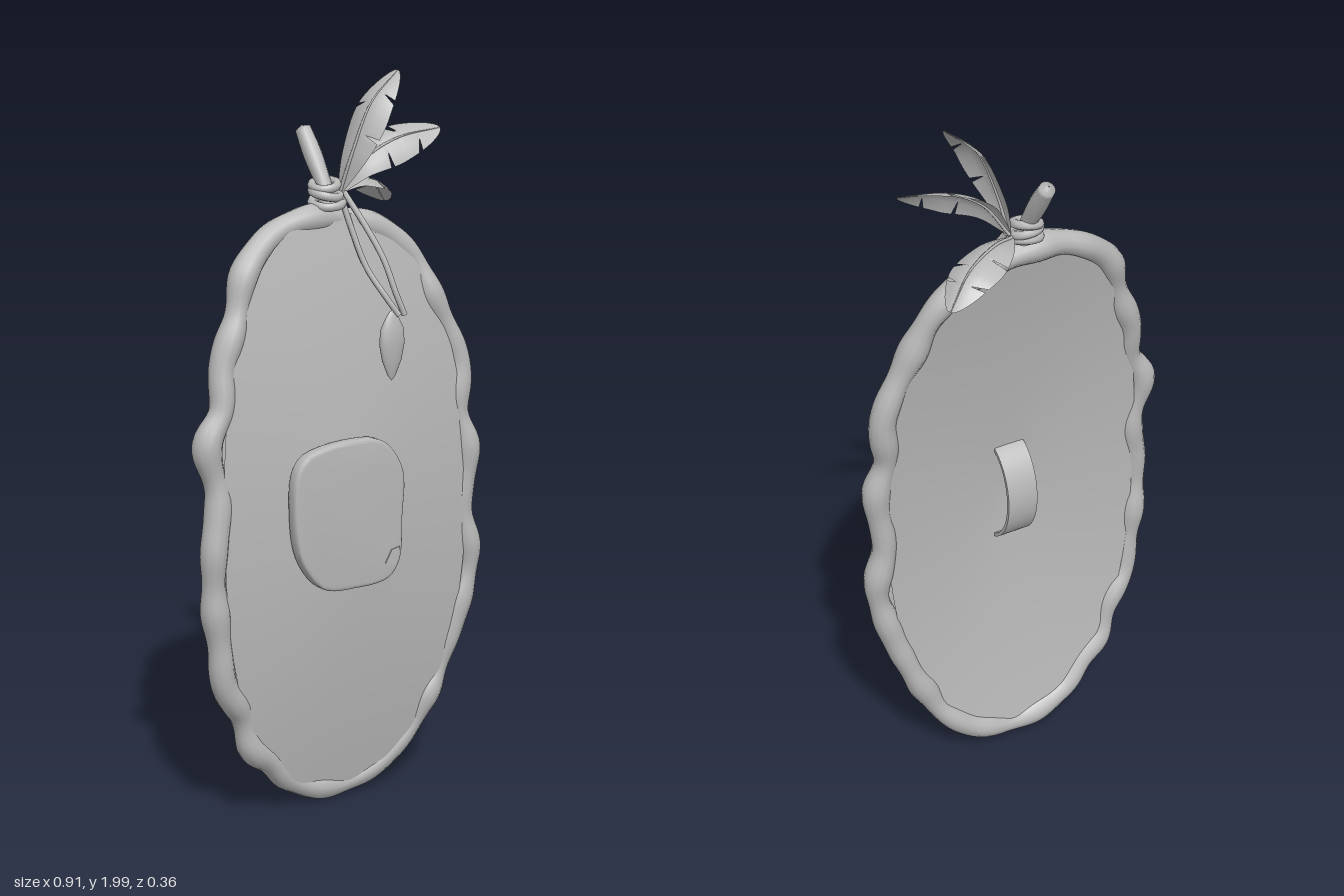
import * as THREE from 'three';
import { mergeVertices, toCreasedNormals } from 'three/addons/utils/BufferGeometryUtils.js';

const V = (x, y, z) => new THREE.Vector3(x, y, z);
const spline = (pts, closed = false) => new THREE.CatmullRomCurve3(pts.map(p => V(...p)), closed);
const grey = new THREE.MeshStandardMaterial({ color: 0xb8b8b8, side: THREE.DoubleSide });
grey.name = 'plain grey';

function mesh(name, geometry, parent) {
  const m = new THREE.Mesh(geometry, grey);
  m.name = name;
  parent.add(m);
  return m;
}

// Weld a geometry so that its normals are smooth across seams
function smooth(geo) {
  geo.deleteAttribute('uv');
  geo.deleteAttribute('normal');
  const g = mergeVertices(geo, 1e-5);
  g.computeVertexNormals();
  return g;
}

// Tube whose radius follows a rule along its length
function roundBar(path, n, sides, radius, closed = false) {
  const geo = new THREE.TubeGeometry(path, n, 1, sides, closed);
  const pos = geo.attributes.position;
  for (let i = 0; i <= n; i++) {
    const c = path.getPointAt(closed ? (i % n) / n : i / n);
    for (let j = 0; j <= sides; j++) {
      const k = i * (sides + 1) + j;
      const v = V().fromBufferAttribute(pos, k).sub(c).multiplyScalar(radius(i / n)).add(c);
      pos.setXYZ(k, v.x, v.y, v.z);
    }
  }
  return smooth(geo);
}

// Grid surface from rows of points
function surface(rows) {
  const w = rows[0].length, index = [];
  for (let i = 0; i < rows.length - 1; i++) for (let j = 0; j < w - 1; j++) {
    const a = i * w + j, b = a + w;
    index.push(a, b, a + 1, b, b + 1, a + 1);
  }
  const g = new THREE.BufferGeometry().setFromPoints(rows.flat());
  g.setIndex(index);
  g.computeVertexNormals();
  return g;
}

// Feather: cupped blade with V-shaped nicks on its edges, plus a quill
function feather(name, pts, side, half, nicks, parent) {
  const g = new THREE.Group();
  g.name = name;
  const path = spline(pts), n = 60, rows = [];
  for (let i = 0; i <= n; i++) {
    const t = i / n, c = path.getPointAt(t), dir = path.getTangentAt(t);
    const s = V(...side).addScaledVector(dir, -V(...side).dot(dir)).normalize();
    const up = V().crossVectors(s, dir).normalize();
    const body = half * Math.pow(Math.sin(Math.PI * Math.pow(0.03 + 0.96 * t, 1.4)), 0.6);
    rows.push([-1, -0.5, 0, 0.5, 1].map(u => {
      const cut = nicks.some(([at, sign]) => sign * u > 0 && Math.abs(at - t) < 0.011) ? 0.4 : 1;
      const w = u * body * cut;
      return c.clone().addScaledVector(s, w).addScaledVector(up, -w * w * 7)
        .addScaledVector(dir, -Math.abs(w) * 0.2);
    }));
  }
  mesh('featherBlade', surface(rows), g);
  mesh('featherQuill', roundBar(path, 24, 6, t => 0.006 * (1 - 0.8 * t)), g);
  parent.add(g);
}

export function createModel() {
  const model = new THREE.Group();
  model.name = 'ovalShield';

  // Lumpy wooden rim, bent backwards at top and bottom
  const outline = [
    [0, 1.66], [-0.11, 1.655], [-0.2, 1.62], [-0.3, 1.53], [-0.345, 1.4], [-0.39, 1.29], [-0.405, 1.18], [-0.45, 1.09],
    [-0.425, 0.95], [-0.445, 0.79], [-0.44, 0.66], [-0.425, 0.53], [-0.41, 0.42], [-0.35, 0.32], [-0.315, 0.21],
    [-0.25, 0.15], [-0.175, 0.07], [0, 0.01], [0.16, 0.05], [0.265, 0.14], [0.32, 0.24], [0.355, 0.31], [0.41, 0.47],
    [0.45, 0.645], [0.425, 0.79], [0.44, 0.97], [0.413, 1.08], [0.42, 1.22], [0.335, 1.41], [0.275, 1.53], [0.16, 1.62],
  ];
  const rimZ = y => 0.1 - 0.08 * ((y - 0.75) / 0.9) ** 2;
  const rimPath = spline(outline.map(([x, y], i) => {
    const d = new THREE.Vector2(x / 0.2, (y - 0.84) / 0.7).normalize().multiplyScalar(0.034);
    return [x - d.x, y - d.y, rimZ(y) + 0.004 * Math.sin(i * 2.3)];
  }), true);
  mesh('rim', roundBar(rimPath, 240, 12,
    t => 0.0355 + 0.003 * Math.sin(t * 34 * Math.PI) + 0.002 * Math.sin(t * 54 * Math.PI), true), model);

  // Front and back panels, coned gently towards the middle
  const panel = (name, offset, bulge) => {
    const rows = [], e = 2 / 2.3;
    for (let i = 0; i <= 16; i++) {
      const s = i / 16, row = [];
      for (let j = 0; j <= 96; j++) {
        const a = ((j % 96) / 48) * Math.PI, c = Math.cos(a), n = Math.sin(a);
        const y = 0.845 + s * 0.795 * Math.sign(n) * Math.abs(n) ** e;
        row.push(V(s * 0.39 * Math.sign(c) * Math.abs(c) ** e, y, rimZ(y) + offset + bulge * (1 - s)));
      }
      rows.push(row);
    }
    mesh(name, smooth(surface(rows)), model);
  };
  panel('frontPanel', 0.025, 0.033);
  panel('backPanel', -0.025, 0.036);

  // Raised plate on the front with a small chipped corner
  const plateCurve = spline([
    [-0.165, 1.04, 0], [-0.015, 1.062, 0], [0.075, 1.045, 0], [0.135, 0.96, 0], [0.134, 0.83, 0], [0.126, 0.71, 0],
    [0.09, 0.665, 0], [-0.02, 0.655, 0], [-0.12, 0.67, 0], [-0.19, 0.76, 0], [-0.21, 0.9, 0], [-0.2, 1.0, 0],
  ], true);
  const shape = new THREE.Shape(plateCurve.getPoints(60).map(p => new THREE.Vector2(p.x, p.y)));
  const plate = new THREE.ExtrudeGeometry(shape, {
    depth: 0.024, bevelSize: 0.01, bevelOffset: -0.01, bevelThickness: 0.008, bevelSegments: 3,
  });
  mesh('frontPlate', toCreasedNormals(plate, 0.6), model).position.z = 0.151;
  const chip = new THREE.Shape([[0.075, 0.71], [0.105, 0.70], [0.122, 0.75], [0.095, 0.745]]
    .map(p => new THREE.Vector2(...p)));
  mesh('plateChip', new THREE.ExtrudeGeometry(chip, { depth: 0.005, bevelEnabled: false }), model).position.z = 0.181;

  // Arched hand strap on the back, ending at the back panel
  const arc = new THREE.Shape();
  arc.absellipse(0, 0, 0.12, 0.158, -1.3, 1.3, false);
  arc.absellipse(0, 0, 0.11, 0.148, 1.3, -1.3, true);
  const strapGeo = new THREE.ExtrudeGeometry(arc, { depth: 0.09, bevelEnabled: false, curveSegments: 20 });
  strapGeo.translate(0, 0, -0.045).rotateY(Math.PI / 2);
  mesh('handStrap', toCreasedNormals(strapGeo, 0.6), model).position.set(0, 0.842, 0.14);

  // Twig rising from the rim, closed by a rounded end
  const twig = spline([[0, 1.61, 0.03], [0, 1.7, 0.005], [-0.004, 1.77, -0.035], [-0.006, 1.857, -0.095]]);
  mesh('twig', roundBar(twig, 24, 12, t => t > 0.99 ? 0.001 : 0.023 + 0.002 * Math.cos(t * 9)), model);

  // Cord wound round the twig
  [[1.668, 0.04, 0.1], [1.69, 0.037, -0.12], [1.712, 0.033, 0.16]].forEach(([y, r, tilt], i) => {
    const ring = mesh('cordWrap', new THREE.TorusGeometry(r, 0.012, 8, 32), model);
    ring.rotation.set(Math.PI / 2 + 0.2, tilt, 0);
    ring.position.set(-0.002, y, 0.018 - i * 0.006);
  });

  // Two hanging strings and a seed pendant
  [
    [[0.028, 1.68, 0.04], [0.045, 1.6, 0.062], [0.07, 1.5, 0.095], [0.105, 1.42, 0.14], [0.132, 1.375, 0.158]],
    [[0.05, 1.69, 0.02], [0.08, 1.61, 0.07], [0.108, 1.52, 0.12], [0.128, 1.43, 0.15], [0.148, 1.375, 0.16]],
  ].forEach(pts => mesh('string', roundBar(spline(pts), 30, 8, () => 0.008), model));
  const seed = [[0, 0], [0.012, 0.014], [0.03, 0.055], [0.039, 0.1], [0.036, 0.14], [0.02, 0.17], [0.009, 0.185], [0, 0.19]];
  const pendant = mesh('seedPendant', new THREE.LatheGeometry(seed.map(p => new THREE.Vector2(...p)), 20), model);
  pendant.scale.z = 0.45;
  pendant.position.set(0.115, 1.2, 0.15);

  // Three feathers tucked into the cord
  feather('uprightFeather', [[0.045, 1.69, 0.01], [0.065, 1.8, 0.04], [0.115, 1.92, 0.048], [0.205, 2.0, 0.04]],
    [0.25, -0.15, 1], 0.06, [[0.45, 1], [0.68, -1], [0.78, 1]], model);
  feather('slantedFeather', [[0.045, 1.69, 0.01], [0.105, 1.775, 0.035], [0.2, 1.825, 0.05], [0.33, 1.845, 0.06]],
    [0.2, -0.6, 0.75], 0.062, [[0.5, 1], [0.66, -1], [0.8, 1]], model);
  feather('droopingFeather', [[0.045, 1.685, 0], [0.13, 1.712, -0.06], [0.23, 1.695, -0.115], [0.305, 1.625, -0.155]],
    [0.5, 0, 0.85], 0.066, [[0.48, -1], [0.62, 1], [0.78, -1], [0.78, 1]], model);

  return model;
}
